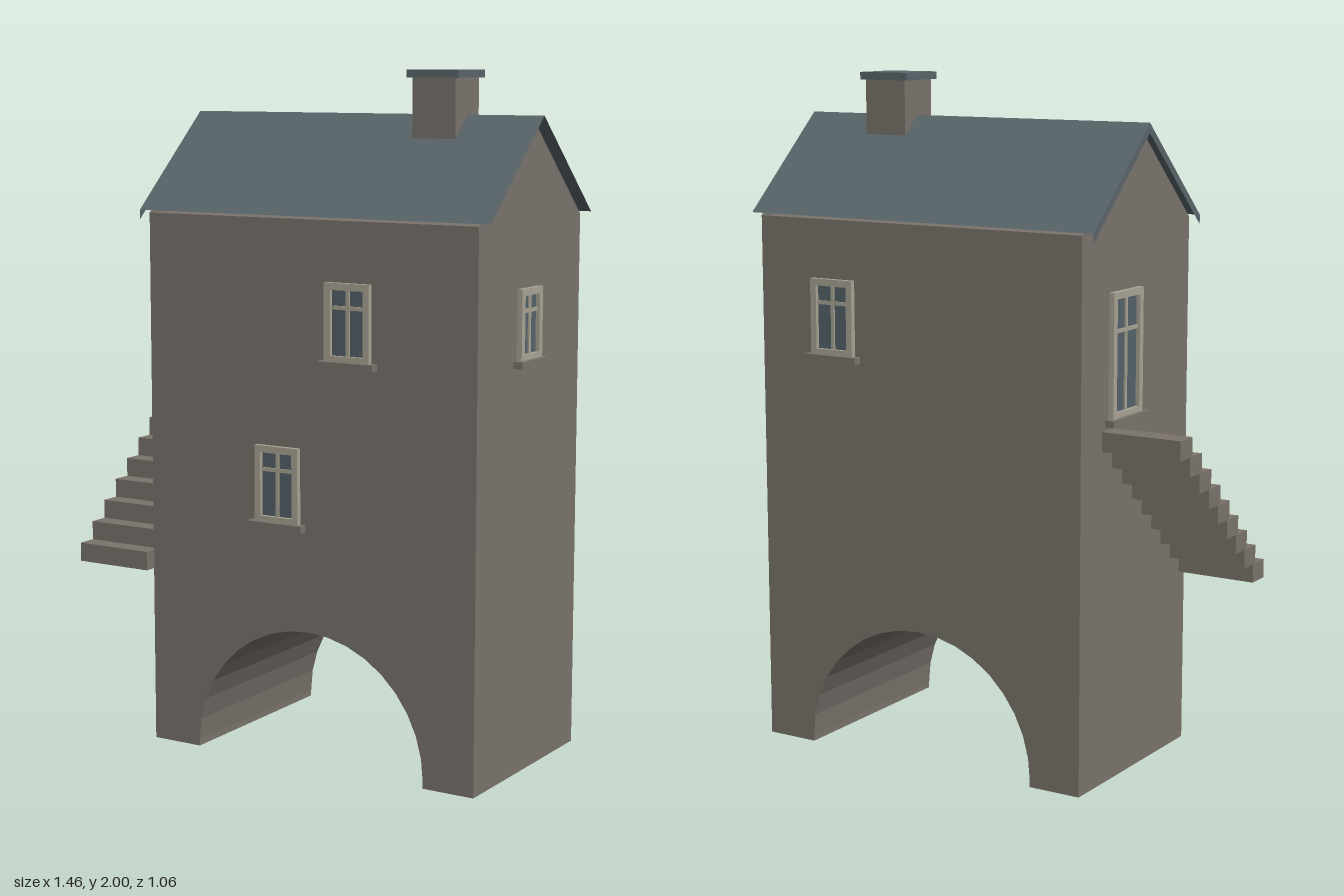
import * as THREE from 'three';

const mat = (name, color, extra = {}) => {
  const m = new THREE.MeshStandardMaterial({ color, ...extra });
  m.name = name;
  return m;
};

export function createModel() {
  const stone = mat('stone', 0x7a746c);
  const slate = mat('slate', 0x5a666b, { flatShading: true, side: THREE.DoubleSide });
  const cream = mat('window frame', 0xaaa595);
  const glass = mat('glass', 0x55636a);

  const model = new THREE.Group();
  model.name = 'archHouse';
  const house = new THREE.Group();
  house.name = 'house';
  house.position.set(0.082, 0, -0.054);
  house.rotation.y = 0.315;
  model.add(house);

  const add = (parent, name, geo, material, x = 0, y = 0, z = 0) => {
    const m = new THREE.Mesh(geo, material);
    m.name = name;
    m.position.set(x, y, z);
    parent.add(m);
    return m;
  };
  const box = (parent, name, material, w, h, d, x, y, z) =>
    add(parent, name, new THREE.BoxGeometry(w, h, d), material, x, y, z);

  const L = 0.543, W = 0.313, EAVE = 1.587, RIDGE = 1.875, R = 0.382;

  // Walls with a faceted archway running through
  const wall = new THREE.Shape();
  wall.moveTo(-L, 0);
  wall.lineTo(-R, 0);
  for (let i = 0; i <= 18; i++) {
    const a = Math.PI * (1 - i / 18);
    wall.lineTo(R * Math.cos(a), 0.018 + R * Math.sin(a));
  }
  wall.lineTo(R, 0);
  wall.lineTo(L, 0);
  wall.lineTo(L, EAVE);
  wall.lineTo(-L, EAVE);
  add(house, 'walls', new THREE.ExtrudeGeometry(wall, { depth: 2 * W, bevelEnabled: false }), stone, 0, 0, -W);

  // Gable triangles at both ends
  const gable = new THREE.Shape();
  gable.moveTo(-W, EAVE);
  gable.lineTo(W, EAVE);
  gable.lineTo(0, RIDGE - 0.006);
  for (const s of [-1, 1]) {
    const g = new THREE.ExtrudeGeometry(gable, { depth: 0.01, bevelEnabled: false });
    add(house, 'gable', g, stone, s > 0 ? L - 0.01 : -L, 0, 0).rotation.y = Math.PI / 2;
  }

  // Thin folded roof sheet
  const ROOF = 0.578, SLOPE = (RIDGE - 1.594) / W;
  const roof = new THREE.PlaneGeometry(2 * ROOF, 2 * W, 1, 2).rotateX(-Math.PI / 2);
  const p = roof.attributes.position;
  for (let i = 0; i < p.count; i++) p.setY(i, RIDGE - Math.abs(p.getZ(i)) * SLOPE);
  add(house, 'roof', roof, slate);

  // Bargeboard under the roof edge above the stairs
  const barge = new THREE.Shape();
  const drop = 0.028, low = 1.594;
  barge.moveTo(-W, low);
  barge.lineTo(-W, low - drop);
  barge.lineTo(0, RIDGE - drop);
  barge.lineTo(W, low - drop);
  barge.lineTo(W, low);
  barge.lineTo(0, RIDGE);
  add(house, 'bargeboard', new THREE.ShapeGeometry(barge), slate, -ROOF, 0, 0).rotation.y = -Math.PI / 2;

  // Chimney
  box(house, 'chimney', stone, 0.138, 0.28, 0.138, 0.27, 1.84, 0.005);
  box(house, 'chimneyCap', slate, 0.165, 0.022, 0.158, 0.27, 1.989, 0.005);

  // Framed opening; local z points out of the wall
  const opening = (name, x, z, turn, y0, w, h) => {
    const g = new THREE.Group();
    g.name = name;
    g.position.set(x, y0, z);
    g.rotation.y = turn;
    house.add(g);
    const t = 0.02, d = 0.016;
    box(g, 'glass', glass, w - t, h - t, 0.004, 0, h / 2, 0.002);
    for (const s of [-1, 1]) {
      box(g, 'frameSide', cream, t, h, d, s * (w - t) / 2, h / 2, d / 2);
      box(g, 'frameRail', cream, w - 2 * t, t, d, 0, h / 2 + s * (h - t) / 2, d / 2);
    }
    box(g, 'mullion', cream, 0.011, h - 2 * t, 0.009, 0, h / 2, 0.0045);
    box(g, 'transom', cream, w - 2 * t, 0.011, 0.009, 0, h * 0.69, 0.0045);
    box(g, 'sill', stone, w + 0.036, 0.02, 0.028, 0, -0.006, 0.014);
  };
  opening('frontUpperWindow', 0.138, W, 0, 1.19, 0.146, 0.225);
  opening('frontLowerWindow', -0.097, W, 0, 0.71, 0.146, 0.225);
  opening('backWindow', 0.285, -W, Math.PI, 1.19, 0.146, 0.225);
  opening('sideWindow', L, 0.018, Math.PI / 2, 1.195, 0.128, 0.205);
  opening('door', -L, -0.075, -Math.PI / 2, 1.056, 0.17, 0.36);

  // Outside stairs climbing along the end wall
  const stairs = new THREE.Group();
  stairs.name = 'stairs';
  house.add(stairs);
  const rise = 0.0561, tread = 0.0595;
  for (let i = 0; i < 9; i++) {
    box(stairs, 'step', stone, 0.247, rise, 0.072, -0.6645, 0.525 + rise * (i + 0.5), 0.352 - 0.036 - tread * i);
  }

  return model;
}
